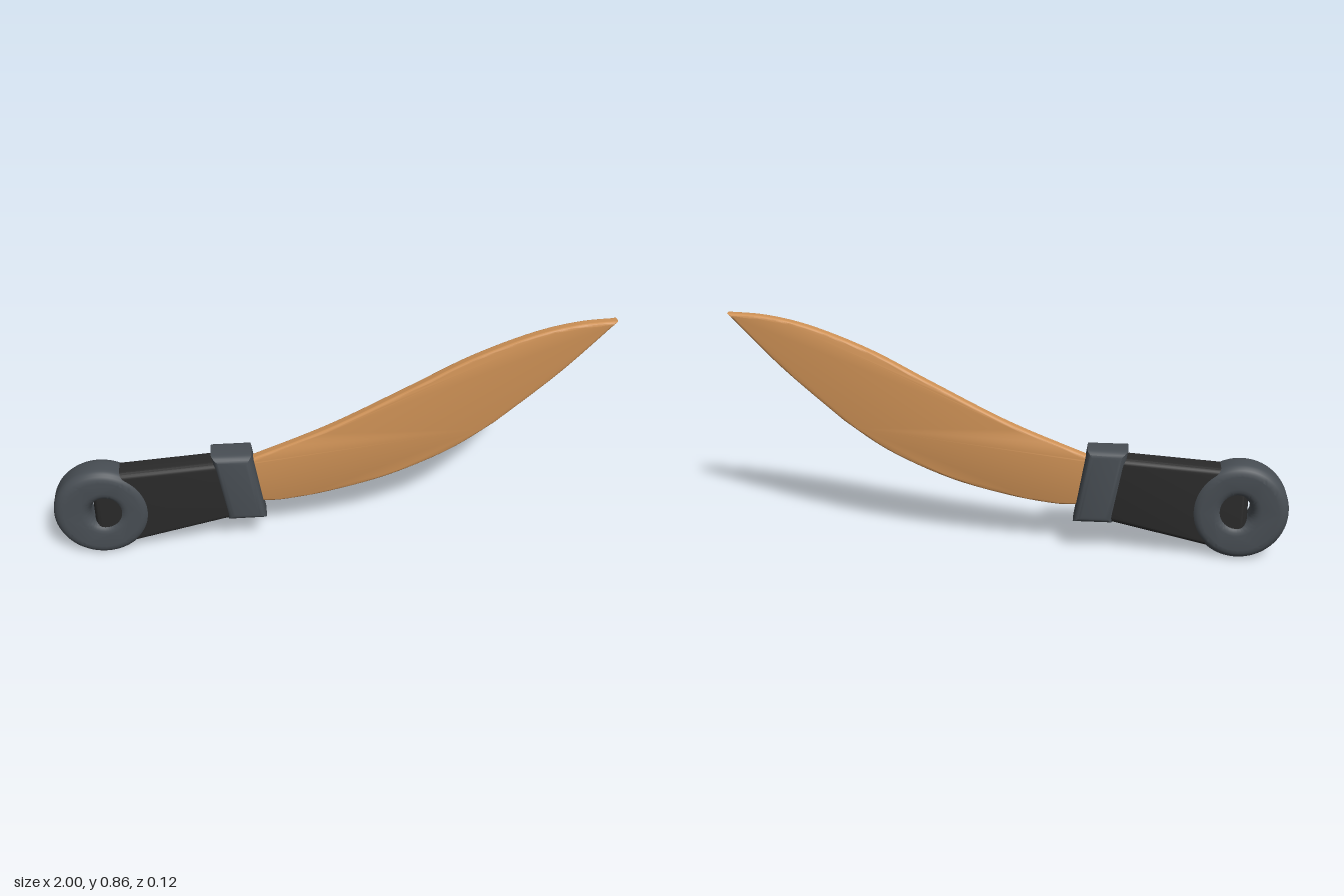
import * as THREE from 'three';
import { toCreasedNormals } from 'three/addons/utils/BufferGeometryUtils.js';

const tan = new THREE.MeshStandardMaterial({ color: 0xcf9256 });
tan.name = 'tan blade';
const slate = new THREE.MeshStandardMaterial({ color: 0x484e54 });
slate.name = 'slate grey';
const black = new THREE.MeshStandardMaterial({ color: 0x2a2a2a });
black.name = 'black grip';

const vectors = (list) => list.map(([x, y]) => new THREE.Vector2(x, y));

// Extrudes an outline along z, rounded inward so the outline keeps its size
function slab(name, shape, halfDepth, round, material) {
  const geometry = new THREE.ExtrudeGeometry(shape, {
    depth: 2 * (halfDepth - round),
    bevelEnabled: true,
    bevelThickness: round,
    bevelSize: round,
    bevelOffset: -round,
    bevelSegments: 5,
    curveSegments: 48,
  });
  geometry.translate(0, 0, -(halfDepth - round));
  const mesh = new THREE.Mesh(toCreasedNormals(geometry, 0.6), material);
  mesh.name = name;
  return mesh;
}

export function createModel() {
  const model = new THREE.Group();
  model.name = 'curvedKnife';

  // Curved blade: spine, straight tip edge and belly
  const spine = new THREE.SplineCurve(vectors([
    [-0.33, 0.345], [-0.27, 0.367], [0, 0.477], [0.275, 0.617],
    [0.49, 0.73], [0.7, 0.812], [0.86, 0.848], [0.995, 0.856],
  ]));
  const tipEdge = new THREE.SplineCurve(vectors([
    [0.995, 0.856], [0.81, 0.66], [0.596, 0.468],
  ]));
  const belly = new THREE.SplineCurve(vectors([
    [0.596, 0.468], [0.436, 0.358], [0.22, 0.26], [0, 0.2],
    [-0.165, 0.174], [-0.24, 0.174], [-0.32, 0.18],
  ]));
  const outline = [
    ...spine.getPoints(40),
    ...tipEdge.getPoints(12).slice(1),
    ...belly.getPoints(32).slice(1),
  ];
  model.add(slab('blade', new THREE.Shape(outline), 0.02, 0.011, tan));

  // Leaning guard
  const guard = new THREE.Shape(vectors([
    [-0.375, 0.118], [-0.233, 0.118], [-0.28, 0.397], [-0.425, 0.397],
  ]));
  model.add(slab('guard', guard, 0.06, 0.03, slate));

  // Tapered grip, running into the ring
  const grip = new THREE.Shape(vectors([
    [-0.855, 0.01], [-0.32, 0.132], [-0.35, 0.371], [-0.855, 0.336],
  ]));
  model.add(slab('grip', grip, 0.05, 0.026, black));

  // Pommel ring with a small hole
  const ring = new THREE.Shape();
  ring.absellipse(-0.826, 0.18, 0.174, 0.18, 0, Math.PI * 2);
  const hole = new THREE.Path();
  hole.absellipse(-0.817, 0.184, 0.05, 0.054, 0, Math.PI * 2, true);
  ring.holes.push(hole);
  model.add(slab('pommelRing', ring, 0.06, 0.036, slate));

  return model;
}
